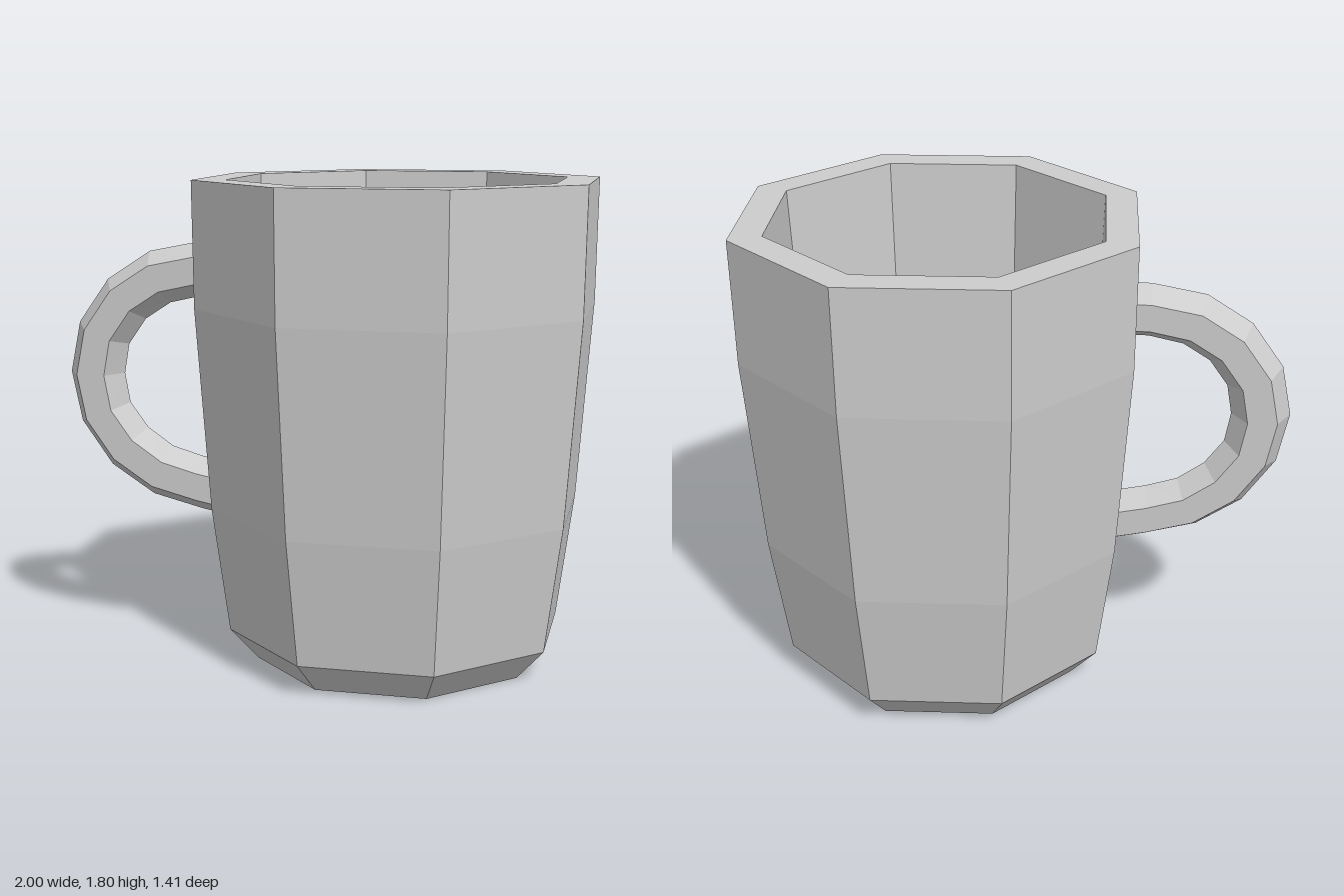
import * as THREE from 'three';

const grey = new THREE.MeshStandardMaterial({ color: 0xcccccc, flatShading: true });
grey.name = 'light grey';

// Split all faces so each one is flat
function faceted(geometry) {
  const flat = geometry.toNonIndexed();
  flat.computeVertexNormals();
  return flat;
}

// Octagonal cup: outside wall, rim, inside wall and floor in one closed profile
function makeCup() {
  const toCorner = 1 / Math.cos(Math.PI / 8);
  const profile = [
    [0, 0], [0.49, 0], [0.59, 0.12], [0.65, 0.59], [0.7, 1.34], [0.705, 1.805],
    [0.59, 1.805], [0.52, 0.13], [0, 0.13],
  ].map(([apothem, y]) => new THREE.Vector2(apothem * toCorner, y));
  const cup = new THREE.Mesh(faceted(new THREE.LatheGeometry(profile, 8, Math.PI / 8)), grey);
  cup.name = 'cup';
  cup.position.x = 0.295;
  return cup;
}

// Six-sided handle, swept between its outer and inner ridge lines
function makeHandle() {
  const outer = [
    [-0.36, 1.565], [-0.47, 1.56], [-0.67, 1.52], [-0.84, 1.41], [-0.96, 1.24], [-1, 1.045],
    [-0.96, 0.85], [-0.84, 0.68], [-0.67, 0.57], [-0.47, 0.52], [-0.31, 0.49],
  ];
  const inner = [
    [-0.36, 1.355], [-0.46, 1.355], [-0.59, 1.325], [-0.69, 1.26], [-0.76, 1.16], [-0.78, 1.045],
    [-0.76, 0.93], [-0.69, 0.835], [-0.59, 0.765], [-0.47, 0.73], [-0.31, 0.7],
  ];
  // Cross-section corners: share of the way from outer to inner ridge, and z
  const section = [[0, 0], [0.25, 0.088], [0.75, 0.088], [1, 0], [0.75, -0.088], [0.25, -0.088]];
  const sides = section.length;
  const positions = [];
  const index = [];
  outer.forEach(([ox, oy], i) => {
    const [ix, iy] = inner[i];
    for (const [t, z] of section) positions.push(ox + (ix - ox) * t, oy + (iy - oy) * t, z);
    if (i === 0) return;
    for (let j = 0; j < sides; j++) {
      const a = (i - 1) * sides + j;
      const a2 = (i - 1) * sides + (j + 1) % sides;
      index.push(a, a + sides, a2, a + sides, a2 + sides, a2);
    }
  });
  const geometry = new THREE.BufferGeometry();
  geometry.setAttribute('position', new THREE.Float32BufferAttribute(positions, 3));
  geometry.setIndex(index);
  const handle = new THREE.Mesh(faceted(geometry), grey);
  handle.name = 'handle';
  return handle;
}

export function createModel() {
  const mug = new THREE.Group();
  mug.name = 'mug';
  mug.add(makeCup(), makeHandle());
  return mug;
}
